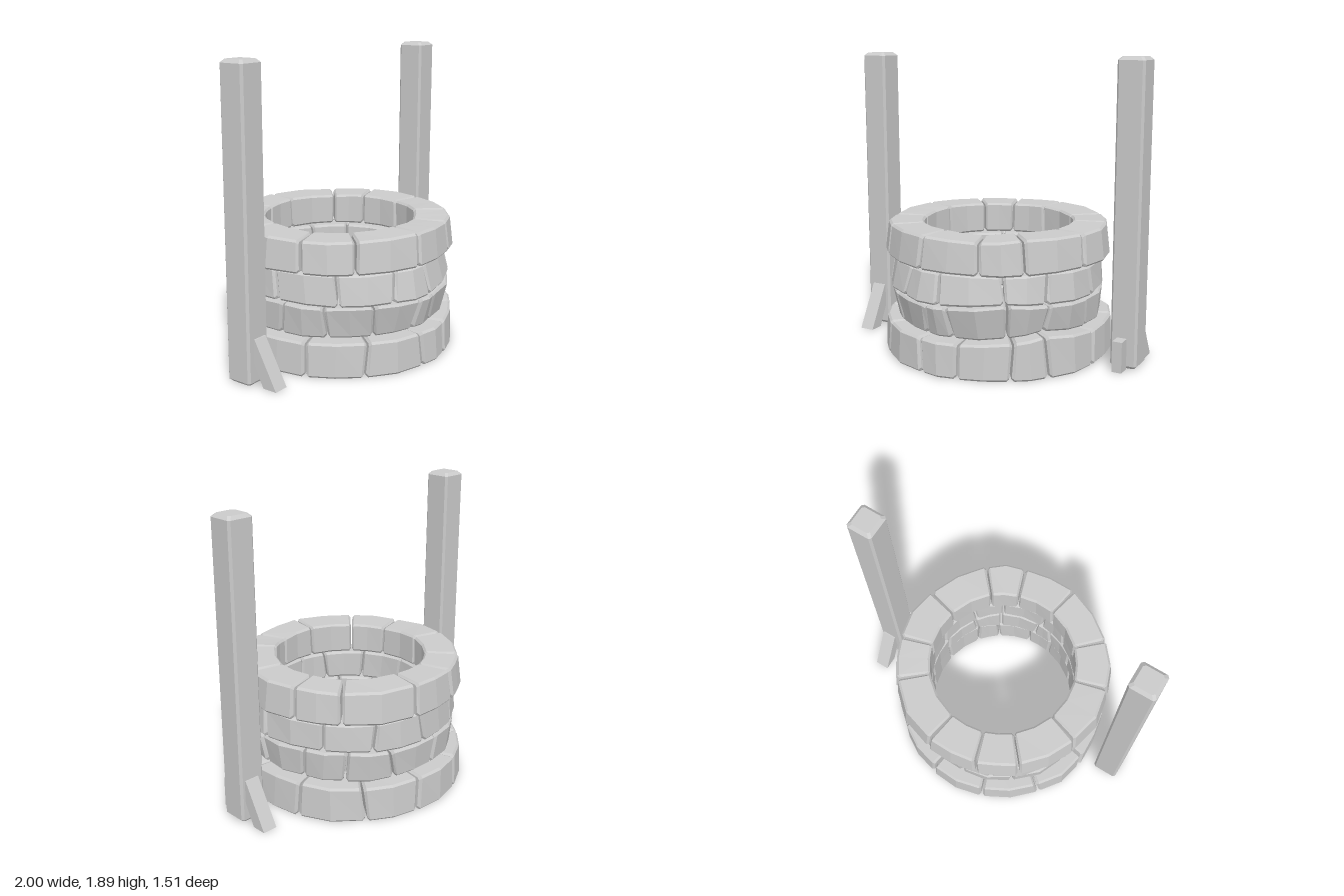
import * as THREE from 'three';

const stoneMat = new THREE.MeshStandardMaterial({ color: 0xcccccc, flatShading: true });
const woodMat = new THREE.MeshStandardMaterial({ color: 0xcccccc, flatShading: true });
const { lerp, degToRad } = THREE.MathUtils;

// Skin a list of equal-length, counter-clockwise cross-sections and cap both ends.
function loft(sections) {
  const n = sections[0].length, index = [];
  for (let s = 0; s < sections.length - 1; s++) {
    for (let j = 0; j < n; j++) {
      const a = s * n + j, b = s * n + (j + 1) % n;
      index.push(a, b, b + n, a, b + n, a + n);
    }
  }
  const last = (sections.length - 1) * n;
  for (let j = 1; j < n - 1; j++) {
    index.push(0, j + 1, j);
    index.push(last, last + j, last + j + 1);
  }
  const geo = new THREE.BufferGeometry();
  geo.setAttribute('position', new THREE.Float32BufferAttribute(sections.flat(2), 3));
  geo.setIndex(index);
  const flat = geo.toNonIndexed();
  flat.computeVertexNormals();
  return flat;
}

// Rectangle with cut corners, as [u, v] pairs.
function cutRect(u0, u1, v0, v1, c) {
  return [[u0 + c, v0], [u1 - c, v0], [u1, v0 + c], [u1, v1 - c],
    [u1 - c, v1], [u0 + c, v1], [u0, v1 - c], [u0, v0 + c]];
}

function add(parent, name, geometry, material) {
  const mesh = new THREE.Mesh(geometry, material);
  mesh.name = name;
  parent.add(mesh);
  return mesh;
}

// Stone courses: mean top, inner radius, outer radius low and high, extra radius at
// the front, joint lean, one raised spot and the joint angles (degrees from the front).
const courses = [
  { top: 0.222, inner: 0.51, low: 0.745, high: 0.735, bulge: [0, 0], lean: 2, peak: { at: 52, rise: 0.045 },
    joints: [-41, -11, 9, 35, 52, 81, 110, 142, 170, 200, 231, 260, 290] },
  { top: 0.425, inner: 0.5, low: 0.66, high: 0.68, bulge: [0, 0.035], lean: 3, peak: { at: 33, rise: 0.03 },
    joints: [-61, -36, -11, 3, 33, 54, 82, 110, 133, 158, 187, 217, 250, 275] },
  { top: 0.62, inner: 0.5, low: 0.685, high: 0.67, bulge: [0.03, 0], lean: 2.5, peak: { at: 54, rise: 0.004 },
    joints: [-55, -25, -3, 31, 54, 85, 121, 148, 176, 205, 240, 272] },
  { top: 0.838, inner: 0.485, low: 0.725, high: 0.7, bulge: [0, 0], lean: 1, peak: { at: 58, rise: 0.02 }, base: 0.635,
    joints: [-12, 19, 41, 75, 107, 131, 169, 197, 220, 252, 287, 314] },
];

// Joint angle i, running on past a full turn.
function jointAngle({ joints }, i) {
  return joints[i % joints.length] + (i < joints.length ? 0 : 360);
}

// Height of the course at joint i: a slight wobble plus the raised spot.
function jointTop({ joints, top, peak }, i) {
  const angle = joints[i % joints.length];
  return top + 0.006 * Math.sin(angle * 1.9) + peak.rise * Math.exp(-(((angle - peak.at) / 16) ** 2));
}

// Height of the course's top at any angle, straight from joint to joint.
function topAt(course, angle) {
  const start = course.joints[0];
  const a = start + ((angle - start) % 360 + 360) % 360;
  let i = 0;
  while (jointAngle(course, i + 1) < a) i++;
  const a0 = jointAngle(course, i), a1 = jointAngle(course, i + 1);
  return lerp(jointTop(course, i), jointTop(course, i + 1), (a - a0) / (a1 - a0));
}

// One bevelled, slightly irregular stone between joints i and i + 1.
function stone(course, below, i) {
  const gap = 0.55, bevel = 1.2, cut = 0.013;
  const start = jointAngle(course, i);
  const span = jointAngle(course, i + 1) - start;
  const leanAt = (k) => course.lean * Math.sin((k % course.joints.length) * 2.2 + course.top * 9);
  const stations = [
    [gap, cut], [gap + bevel, 0], [span / 2, 0], [span - gap - bevel, 0], [span - gap, cut],
  ];
  return loft(stations.map(([offset, inset], k) => {
    const angle = start + offset;
    const top = topAt(course, angle) - inset;
    const bottom = (course.base ?? (below ? topAt(below, angle) + 0.008 : 0)) + inset;
    const front = Math.max(0, Math.cos(degToRad(angle)));
    const dent = k === 2 ? 0.004 + 0.01 * Math.sin(start * 2.7) : 0.004 * Math.sin(start * 5.1 + k);
    const lean = lerp(leanAt(i), leanAt(i + 1), offset / span);
    return cutRect(bottom, top, 0, 1, cut).map(([y, depth]) => {
      const h = (y - bottom) / (top - bottom);
      // Depths near 1 follow the course's sloping outer face, the rest its inner wall.
      const face = lerp(course.low + course.bulge[0] * front, course.high + course.bulge[1] * front, h);
      const radius = depth > 0.5 ? face + dent - inset - (1 - depth) : course.inner + inset + depth;
      const a = degToRad(angle + lean * (h - 0.5));
      return [radius * Math.sin(a), y, radius * Math.cos(a)];
    });
  }));
}

// Square post with bevelled edges.
function postGeometry(half, height, c) {
  return loft([[0, c], [c, 0], [height - c, 0], [height, c]].map(([y, inset]) => {
    const h = half - inset;
    return cutRect(-h, h, -h, h, c * 0.7).map(([z, x]) => [x, y, z]);
  }));
}

// Leaning brace with level ends, running out along +z.
function braceGeometry(width, height) {
  const w = width / 2;
  const rect = (y, z0, z1) => [[-w, y, z0], [-w, y, z1], [w, y, z1], [w, y, z0]];
  return loft([rect(0, 0.155, 0.25), rect(height, 0.01, 0.095)]);
}

export function createModel() {
  const well = new THREE.Group();
  well.name = 'well';

  courses.forEach((course, c) => {
    const ring = new THREE.Group();
    ring.name = 'stoneCourse' + (c + 1);
    course.joints.forEach((_, i) => add(ring, 'stone', stone(course, courses[c - 1], i), stoneMat));
    well.add(ring);
  });

  // Posts, with braces on opposite sides
  for (const side of [1, -1]) {
    const name = side > 0 ? 'left' : 'right';
    const post = add(well, name + 'Post', postGeometry(0.086, 1.89, 0.02), woodMat);
    post.position.x = side * 0.914;
    const brace = add(well, name + 'Brace', braceGeometry(0.096, 0.285), woodMat);
    brace.position.x = side > 0 ? 0.924 : -0.908;
    if (side > 0) brace.rotation.y = Math.PI;
  }

  // Short peg in front of the left post
  const peg = add(well, 'peg', new THREE.BoxGeometry(0.062, 0.195, 0.085), woodMat);
  peg.position.set(0.906, 0.0975, 0.125);

  return well;
}
